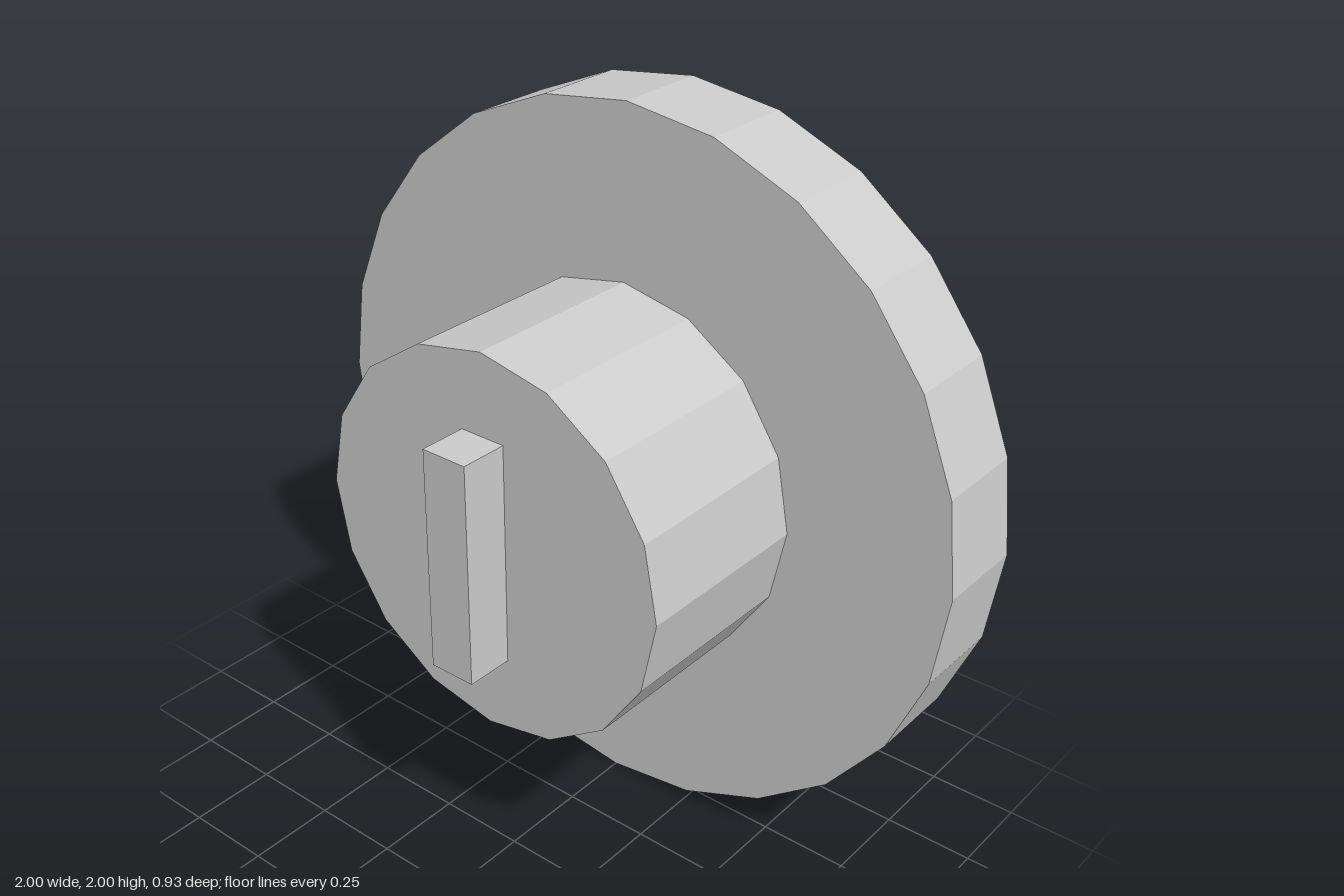
import * as THREE from 'three';

const CENTRE_Y = 1;

export function createModel() {
  const group = new THREE.Group();
  group.name = 'knob';
  const material = new THREE.MeshStandardMaterial({ color: 0xcccccc, flatShading: true });

  // Adds a part centred on the knob's axis, spanning zBack to zFront
  const addPart = (name, geometry, zBack, zFront) => {
    const mesh = new THREE.Mesh(geometry, material);
    mesh.name = name;
    mesh.position.set(0, CENTRE_Y, (zBack + zFront) / 2);
    group.add(mesh);
  };

  // Faceted disc whose axis runs along z
  const disc = (radius, depth, sides) =>
    new THREE.CylinderGeometry(radius, radius, depth, sides).rotateX(Math.PI / 2);

  // Wide base plate at the back
  addPart('basePlate', disc(1, 0.267, 24), -0.467, -0.2);

  // Narrower hub in front of the plate
  addPart('hub', disc(0.533, 0.533, 16), -0.2, 0.333);

  // Upright grip bar on the hub's face
  addPart('gripBar', new THREE.BoxGeometry(0.133, 0.62, 0.134), 0.333, 0.467);

  return group;
}
